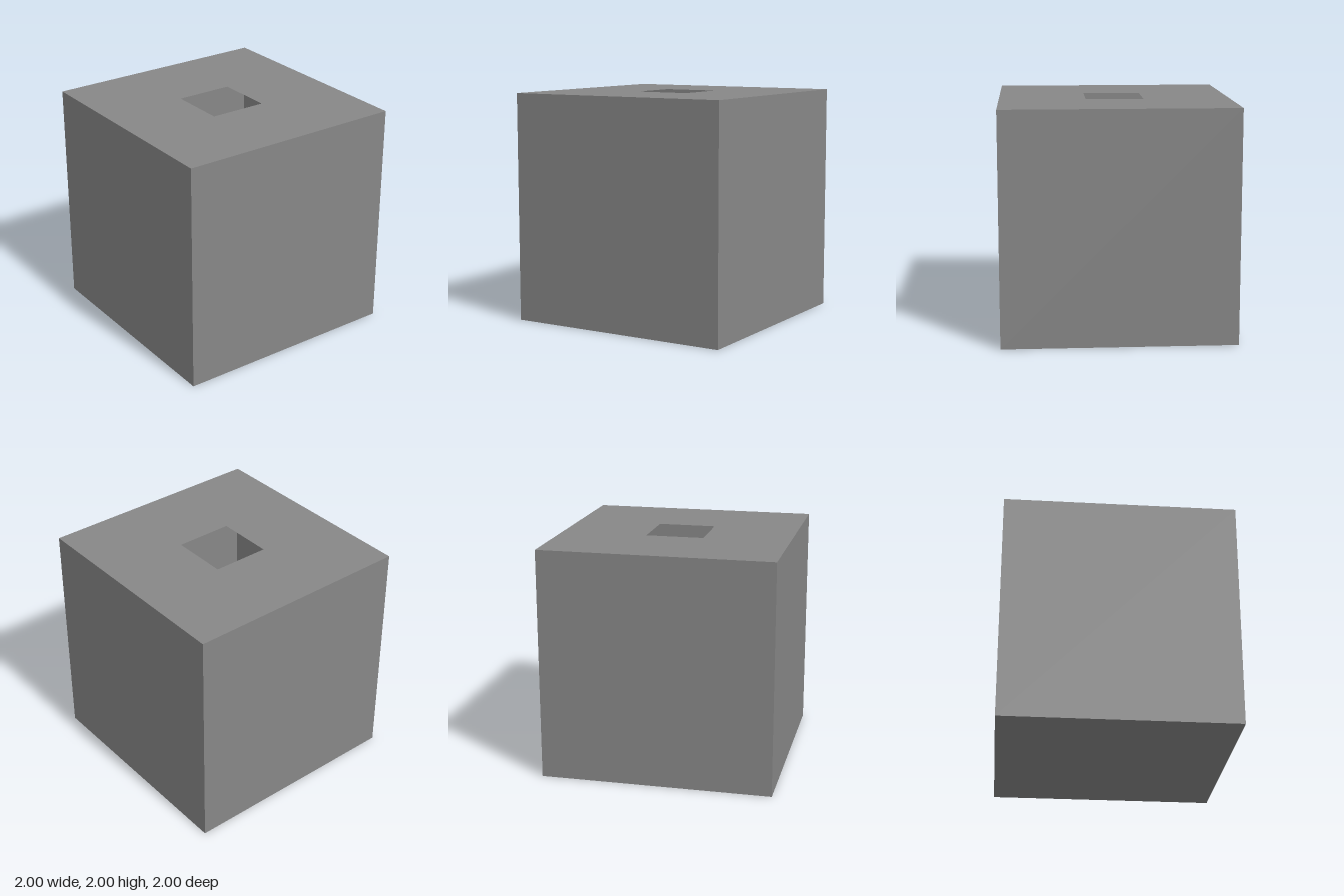
import * as THREE from 'three';

export function createModel() {
  const group = new THREE.Group();
  group.name = 'hollowBox';
  const material = new THREE.MeshStandardMaterial({ color: 0x878787, side: THREE.DoubleSide, flatShading: true });
  const size = 2, half = size / 2, hole = 0.25;

  const add = (name, geometry) => {
    const mesh = new THREE.Mesh(geometry, material);
    mesh.name = name;
    group.add(mesh);
    return mesh;
  };

  // Four thin walls around the hollow inside
  ['frontWall', 'leftWall', 'backWall', 'rightWall'].forEach((name, i) => {
    const angle = i * Math.PI / 2;
    const wall = add(name, new THREE.PlaneGeometry(size, size));
    wall.rotation.y = angle;
    wall.position.set(Math.sin(angle) * half, half, Math.cos(angle) * half);
  });

  // Floor
  add('floor', new THREE.PlaneGeometry(size, size)).rotation.x = Math.PI / 2;

  // Lid with a square opening in the middle
  const square = (path, r) => path.moveTo(-r, -r).lineTo(r, -r).lineTo(r, r).lineTo(-r, r).closePath();
  const lidShape = new THREE.Shape();
  square(lidShape, half);
  const opening = new THREE.Path();
  square(opening, hole);
  lidShape.holes.push(opening);
  const lid = add('lid', new THREE.ShapeGeometry(lidShape));
  lid.rotation.x = -Math.PI / 2;
  lid.position.y = size;

  return group;
}
